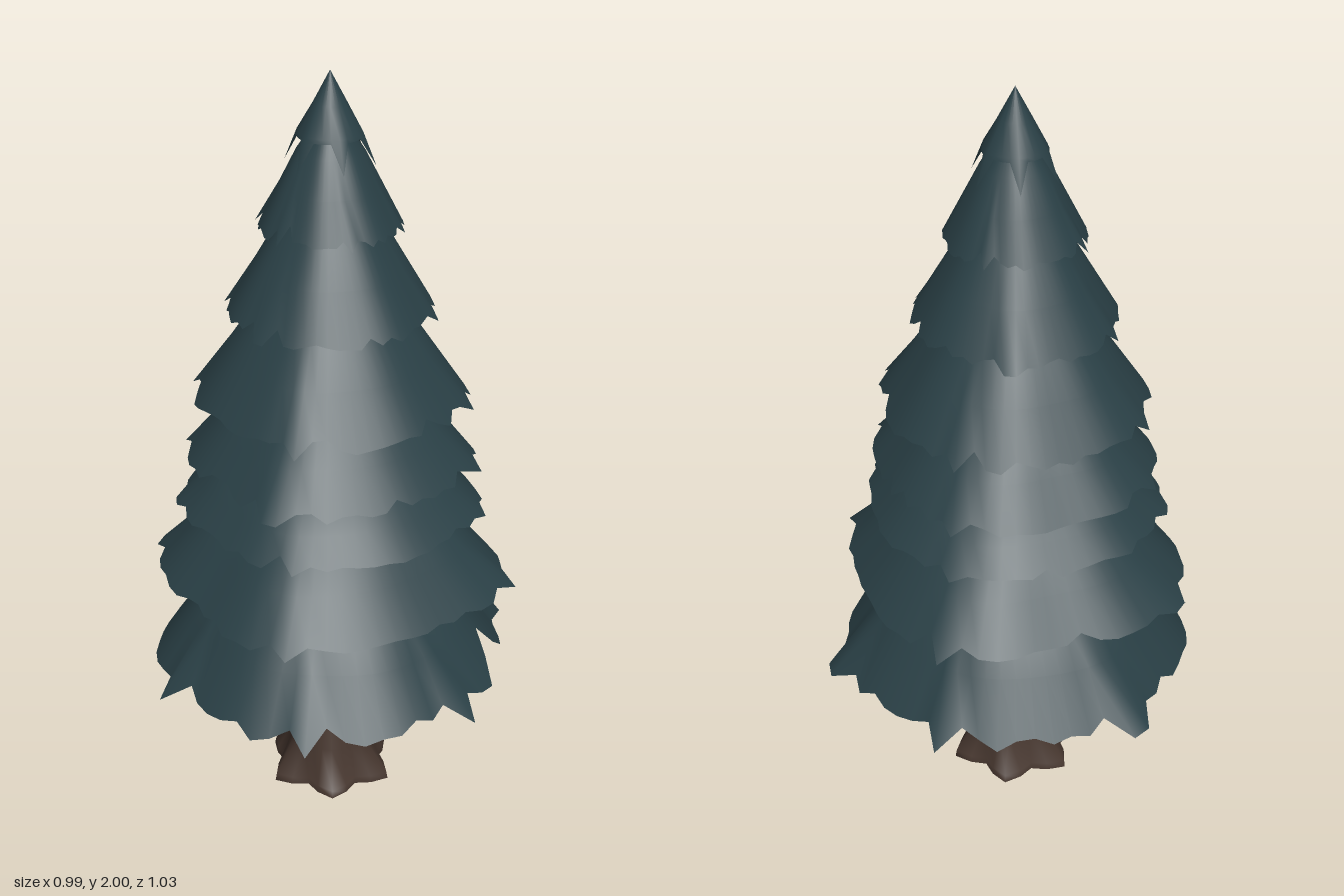
import * as THREE from 'three';

// small seeded random
function seeded(seed) {
  let s = seed * 7919 + 17;
  return () => {
    s = (s * 16807) % 2147483647;
    return s / 2147483647;
  };
}

// joins rings of points (top to bottom) into one smooth closed-loop surface
function loft(rings) {
  const n = rings[0].length;
  const positions = rings.flat().flatMap((p) => [p.x, p.y, p.z]);
  const index = [];
  for (let r = 0; r < rings.length - 1; r++) {
    for (let i = 0; i < n; i++) {
      const j = (i + 1) % n;
      const a = r * n + i, b = r * n + j, c = a + n, d = b + n;
      index.push(a, b, c, b, d, c);
    }
  }
  const geometry = new THREE.BufferGeometry();
  geometry.setAttribute('position', new THREE.Float32BufferAttribute(positions, 3));
  geometry.setIndex(index);
  geometry.computeVertexNormals();
  return geometry;
}

function ring(n, place) {
  return Array.from({ length: n }, (_, i) => {
    const angle = (i / n) * Math.PI * 2;
    const [r, y] = place(angle);
    return new THREE.Vector3(Math.cos(angle) * r, y, Math.sin(angle) * r);
  });
}

// angular distance in degrees
function apart(angle, degrees) {
  const d = Math.abs(THREE.MathUtils.radToDeg(angle) - degrees) % 360;
  return Math.min(d, 360 - d);
}

// one drooping skirt of needles with a ragged rim;
// square widens it along x and z, reach is the length of its tips
function skirt({ rim, mid, top, tips, notches = [], square = 0, reach = 1.08 }, seed) {
  const random = seeded(seed + 3);
  const n = 60;
  const phase = random() * 6;
  const wave = (a) => 1 + 0.012 * Math.sin(7 * a + phase) + square * Math.cos(4 * a);
  const along = (a, k) => [
    (mid[0] + (rim[0] - mid[0]) * k) * wave(a),
    mid[1] + (rim[1] - mid[1]) * Math.min(k, 1.03),
  ];
  const edge = (a) => {
    let k = 0.93 + 0.09 * random();
    if (random() < 0.12) k -= 0.08;
    for (const t of tips) {
      // a long broad tip with a slit on each side
      const d = apart(a, t);
      if (d < 5) k = reach + 0.05 * random();
      else if (d < 10) k -= 0.08;
    }
    for (const t of notches) k -= 0.38 * Math.max(0, 1 - apart(a, t) / 11);
    return along(a, k);
  };
  return loft([
    ring(n, () => top),
    ring(n, (a) => along(a, 0)),
    ring(n, (a) => along(a, 0.45)),
    ring(n, edge),
  ]);
}

export function createModel() {
  const tree = new THREE.Group();
  tree.name = 'pineTree';

  const needles = new THREE.MeshStandardMaterial({ color: 0x2a4046, side: THREE.DoubleSide });
  needles.name = 'dark teal needles';
  const bark = new THREE.MeshStandardMaterial({ color: 0x483830, side: THREE.DoubleSide });
  bark.name = 'brown bark';

  const add = (name, geometry, material) => {
    const mesh = new THREE.Mesh(geometry, material);
    mesh.name = name;
    tree.add(mesh);
  };

  // tapering trunk with a star-shaped root flare, open underneath
  const star = (r, depth, y) =>
    ring(24, (a) => [r + depth * Math.cos(6 * (a - Math.PI / 12)), y]);
  add('trunk', loft([
    star(0.03, 0, 0.88),
    star(0.085, 0, 0.42),
    star(0.105, 0.002, 0.11),
    star(0.152, 0.024, 0.02),
    star(0.154, 0.026, 0),
  ]), bark);

  // skirts from bottom to top, each point as [radius, height]
  const tiers = [
    { rim: [0.475, 0.38], mid: [0.29, 0.65], top: [0.07, 0.86],
      tips: [30, 85, 137, 208, 270, 320], notches: [0], reach: 1.2 },
    { rim: [0.45, 0.645], mid: [0.27, 0.85], top: [0.06, 1.02],
      tips: [0, 90, 182, 270], square: 0.045 },
    { rim: [0.39, 0.845], mid: [0.275, 0.97], top: [0.06, 1.14],
      tips: [0, 90, 165, 270], square: 0.025 },
    { rim: [0.37, 0.975], mid: [0.225, 1.16], top: [0.05, 1.33],
      tips: [0, 100, 180, 270], square: 0.035 },
    { rim: [0.35, 1.15], mid: [0.195, 1.38], top: [0.04, 1.57],
      tips: [0, 90, 180, 270], square: 0.02 },
    { rim: [0.265, 1.385], mid: [0.135, 1.61], top: [0.03, 1.77], tips: [0, 115, 180, 250] },
    { rim: [0.18, 1.61], mid: [0.085, 1.8], top: [0.02, 1.9], tips: [0, 60, 120, 180, 270] },
  ];
  tiers.forEach((tier, i) => add(`needleSkirt${i + 1}`, skirt(tier, i), needles));

  // pointed crown with six hanging tips
  const lobe = (a) => Math.max(0, Math.cos(6 * a));
  add('crown', loft([
    ring(24, () => [0, 2]),
    ring(24, () => [0.042, 1.92]),
    ring(24, (a) => [0.078 + 0.005 * lobe(a), 1.85]),
    ring(24, (a) => [0.082 + 0.033 * lobe(a), 1.84 - 0.07 * lobe(a)]),
  ]), needles);

  return tree;
}
